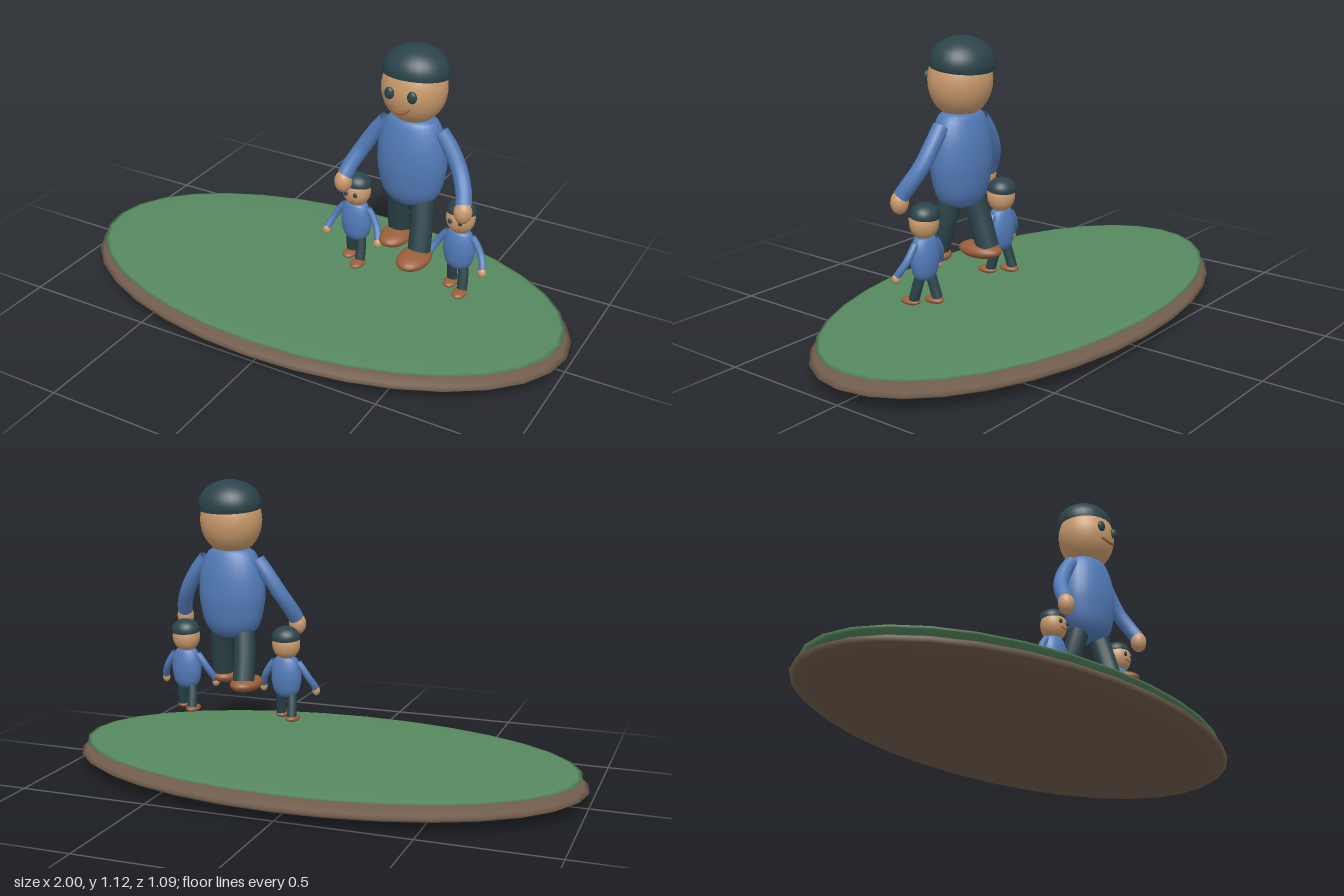
import * as THREE from 'three';

const mat = (name, color, side = THREE.FrontSide) =>
  Object.assign(new THREE.MeshStandardMaterial({ color, side }), { name });

export function createModel() {
  const skin = mat('skin', 0xcb9b6d);
  const shirt = mat('blue shirt', 0x527bb8, THREE.DoubleSide);
  const dark = mat('dark hair and trousers', 0x2b444a, THREE.DoubleSide);
  const leather = mat('shoe brown', 0x9a5f3b);
  const grass = mat('grass', 0x56895f);
  const soil = mat('soil', 0x705c4b);

  const add = (parent, name, geometry, material, position = [0, 0, 0]) => {
    const mesh = new THREE.Mesh(geometry, material);
    mesh.name = name;
    mesh.position.set(...position);
    parent.add(mesh);
    return mesh;
  };
  const ellipsoid = (rx, ry, rz, w = 24, h = 16) =>
    new THREE.SphereGeometry(1, w, h).scale(rx, ry, rz);
  const limb = (points, radius) => new THREE.TubeGeometry(
    new THREE.CatmullRomCurve3(points.map(p => new THREE.Vector3(...p))), 14, radius, 14);

  // One walking figure, soles at y = 0
  function makeFigure(name) {
    const figure = new THREE.Group();
    figure.name = name;

    // Rounded torso, flattened front to back
    const profile = [[0, 0.202], [0.065, 0.21], [0.108, 0.255], [0.127, 0.33], [0.131, 0.38],
      [0.125, 0.445], [0.106, 0.505], [0.078, 0.54], [0, 0.545]];
    const curve = new THREE.SplineCurve(profile.map(p => new THREE.Vector2(...p)));
    const outline = curve.getPoints(24).map(p => p.setX(Math.max(0, p.x)));
    add(figure, 'torso', new THREE.LatheGeometry(outline, 28).scale(1, 1, 0.7), shirt);

    // Head, hair cap and face
    add(figure, 'head', ellipsoid(0.118, 0.13, 0.109, 28, 20), skin, [0, 0.65, 0]);
    const cap = new THREE.SphereGeometry(1, 28, 12, 0, Math.PI * 2, 0, Math.PI * 0.56)
      .scale(0.12, 0.09, 0.109);
    add(figure, 'hair', cap, dark, [0, 0.711, -0.01]).rotation.x = -0.12;
    const smile = new THREE.TorusGeometry(0.04, 0.005, 8, 16, Math.PI * 2 / 3)
      .rotateZ(Math.PI * 7 / 6);
    add(figure, 'mouth', smile, leather, [0, 0.628, 0.095]).rotation.x = -0.6;

    for (const s of [-1, 1]) {
      const side = s > 0 ? 'left' : 'right';
      add(figure, side + 'Eye', ellipsoid(0.018, 0.022, 0.011, 16, 12), dark, [s * 0.043, 0.657, 0.109]);

      // Arms reach down, out and forward
      add(figure, side + 'Arm', limb([[s * 0.105, 0.502, 0], [s * 0.147, 0.448, 0.001],
        [s * 0.19, 0.378, 0.014], [s * 0.222, 0.315, 0.045], [s * 0.234, 0.278, 0.068]], 0.029), shirt);
      add(figure, side + 'Hand', ellipsoid(0.033, 0.042, 0.031, 18, 12), skin, [s * 0.236, 0.255, 0.075]);

      // Legs in mid-stride, left one forward
      add(figure, side + 'Leg', limb([[s * 0.046, 0.26, 0], [s * 0.06, 0.16, s * 0.026],
        [s * 0.068, 0.045, s * 0.058]], 0.041), dark);
      add(figure, side + 'Shoe', ellipsoid(0.058, 0.03, 0.087), leather,
        [s * 0.066, 0.031, 0.033 + s * 0.06]);
    }
    return figure;
  }

  const model = new THREE.Group();
  model.name = 'familyOnIsland';

  // Oval ground: soil lens with a thinner grass lens on top
  add(model, 'soilBase', ellipsoid(1, 0.056, 0.547, 32, 16), soil, [0, 0.058, 0]);
  add(model, 'grassTop', ellipsoid(0.975, 0.0175, 0.524, 32, 16), grass, [0, 0.1045, 0]);

  // Adult with a child at each hand
  const adult = makeFigure('adult');
  adult.position.set(0.369, 0.323, 0);
  model.add(adult);
  for (const [name, x] of [['rightChild', 0.15], ['leftChild', 0.567]]) {
    const child = makeFigure(name);
    child.scale.setScalar(0.455);
    child.position.set(x, 0.217, 0);
    model.add(child);
  }
  return model;
}
